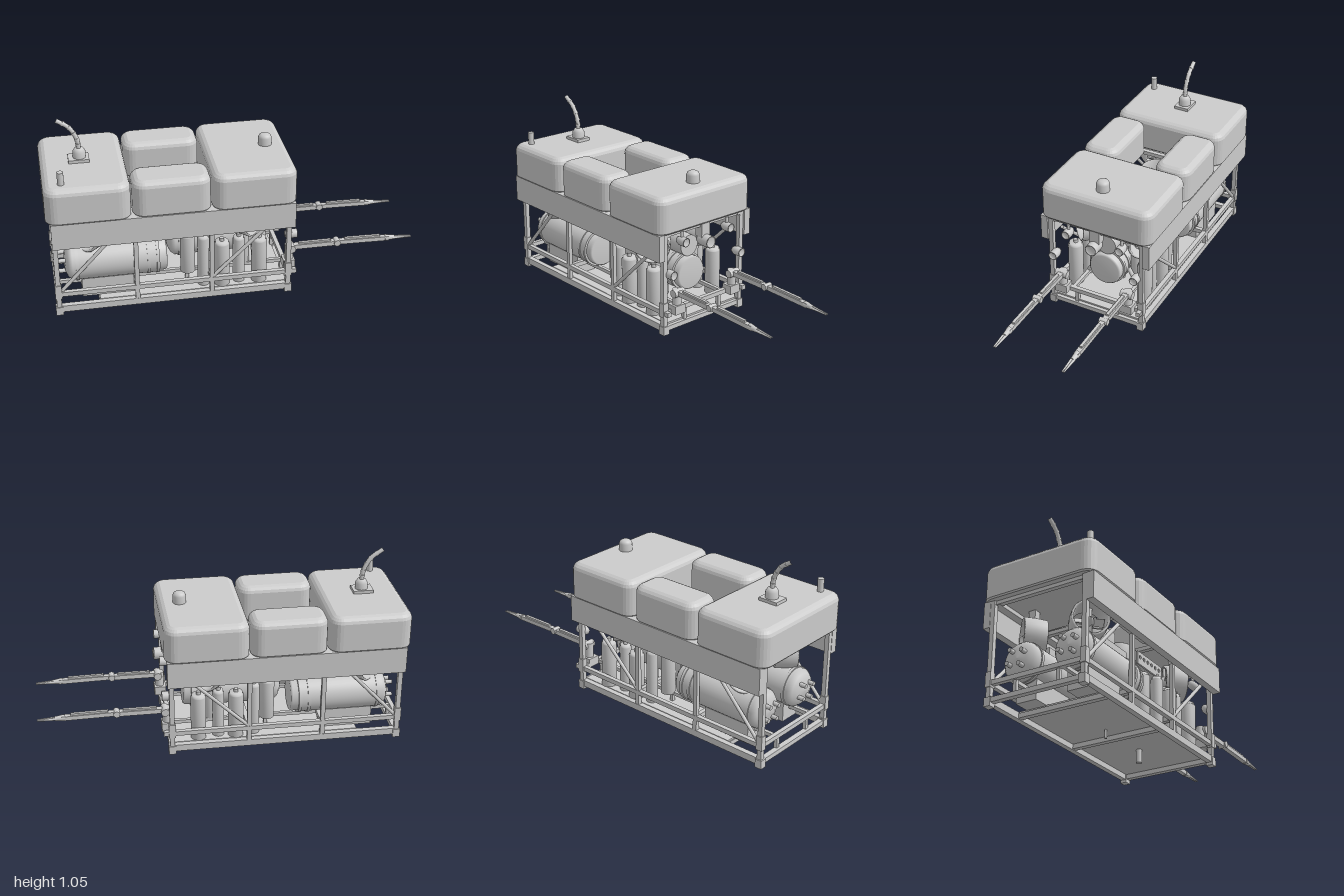
import * as THREE from 'three';

const V = (x, y, z) => new THREE.Vector3(x, y, z);
const UP = V(0, 1, 0);
const mat = new THREE.MeshStandardMaterial({ color: 0xcccccc });
const matDouble = new THREE.MeshStandardMaterial({ color: 0xcccccc, side: THREE.DoubleSide });
const sides = [1, -1];

export function createModel() {
  const root = new THREE.Group();

  const add = (name, geo, parent = root, m = mat) => {
    const mesh = new THREE.Mesh(geo, m);
    mesh.name = name;
    parent.add(mesh);
    return mesh;
  };
  // Box given by its limits on each axis
  const box = (name, x0, x1, y0, y1, z0, z1, parent) => {
    const b = add(name, new THREE.BoxGeometry(x1 - x0, y1 - y0, z1 - z0), parent);
    b.position.set((x0 + x1) / 2, (y0 + y1) / 2, (z0 + z1) / 2);
    return b;
  };
  // Round bar between two points
  const rod = (name, a, b, r, r2 = r, seg = 20, parent) => {
    const d = b.clone().sub(a);
    const c = add(name, new THREE.CylinderGeometry(r2, r, d.length(), seg), parent);
    c.position.copy(a).add(b).multiplyScalar(0.5);
    c.quaternion.setFromUnitVectors(UP, d.normalize());
    return c;
  };
  // Turned part along a direction; profile is [radius, distance] pairs
  const turned = (name, profile, at, dir = UP, seg = 32, parent) => {
    const pts = profile.map(([r, y]) => new THREE.Vector2(r, y));
    const m = add(name, new THREE.LatheGeometry(pts, seg), parent, matDouble);
    m.position.copy(at);
    m.quaternion.setFromUnitVectors(UP, dir.clone().normalize());
    return m;
  };

  // Rounded float block lofted from stacked rounded rectangles
  const floatBlock = (name, x0, x1, z0, z1) => {
    const levels = [[0.6, 0.006], [0.608, 0], [0.765, 0], [0.78, 0.006], [0.792, 0.018], [0.8, 0.034]];
    const n = 6, R = 0.065, pos = [], idx = [];
    const per = 4 * (n + 1);
    for (const [y, inset] of levels) {
      for (let q = 0; q < 4; q++) for (let i = 0; i <= n; i++) {
        const a = (q + i / n) * Math.PI / 2, r = R - inset;
        const cx = q === 0 || q === 3 ? x1 - R : x0 + R;
        const cz = q < 2 ? z1 - R : z0 + R;
        pos.push(cx + r * Math.cos(a), y, cz + r * Math.sin(a));
      }
    }
    for (let l = 0; l < levels.length - 1; l++) for (let i = 0; i < per; i++) {
      const a = l * per + i, b = l * per + (i + 1) % per;
      idx.push(a, a + per, b, b, a + per, b + per);
    }
    const top = (levels.length - 1) * per;
    for (let i = 1; i < per - 1; i++) idx.push(0, i, i + 1, top, top + i + 1, top + i);
    const g = new THREE.BufferGeometry();
    g.setAttribute('position', new THREE.Float32BufferAttribute(pos, 3));
    g.setIndex(idx);
    const flat = g.toNonIndexed();
    flat.computeVertexNormals();
    add(name, flat);
  };
  floatBlock('rearFloat', -1, -0.555, -0.33, 0.33);
  floatBlock('frontFloat', -0.13, 0.32, -0.33, 0.33);
  floatBlock('leftFloat', -0.548, -0.137, -0.325, -0.115);
  floatBlock('rightFloat', -0.548, -0.137, 0.115, 0.325);

  // Fittings on top: whip on a base, rod and domed beacon
  box('whipBase', -0.85, -0.74, 0.795, 0.817, -0.042, 0.042);
  turned('whipSocket', [[0.034, 0], [0.034, 0.04], [0.022, 0.06], [0, 0.06]], V(-0.79, 0.81, 0));
  const whip = new THREE.CatmullRomCurve3([V(-0.79, 0.86, 0), V(-0.797, 0.92, 0), V(-0.835, 0.99, 0), V(-0.9, 1.037, 0)]);
  add('whip', new THREE.TubeGeometry(whip, 24, 0.012, 12));
  for (let i = 1; i < 6; i++) {
    const p = whip.getPoint(i / 6), t = whip.getTangent(i / 6).multiplyScalar(0.006);
    rod('whipRing', p.clone().sub(t), p.clone().add(t), 0.014);
  }
  rod('topRod', V(-0.905, 0.79, 0.255), V(-0.905, 0.87, 0.255), 0.017);
  turned('beacon', [[0.036, 0], [0.036, 0.045], [0.03, 0.058], [0.018, 0.065], [0, 0.066]], V(0.205, 0.796, 0));

  // Open frame, mirrored across z
  for (const s of sides) {
    const f = new THREE.Group();
    f.name = s > 0 ? 'frameRight' : 'frameLeft';
    root.add(f);
    const sbox = (name, x0, x1, y0, y1, z0, z1) =>
      box(name, x0, x1, y0, y1, Math.min(s * z0, s * z1), Math.max(s * z0, s * z1), f);
    sbox('sidePanel', -0.975, 0.31, 0.455, 0.602, 0.285, 0.325);
    sbox('bottomRail', -0.97, 0.295, 0.043, 0.08, 0.255, 0.285);
    sbox('middleRail', -0.96, 0.33, 0.14, 0.165, 0.26, 0.285);
    sbox('topRail', -0.96, 0.3, 0.578, 0.602, 0.24, 0.29);
    for (const x of [-0.96, 0.285]) {
      sbox('cornerPost', x - 0.013, x + 0.013, 0.04, 0.6, 0.26, 0.285);
      sbox('foot', x - 0.02, x + 0.02, 0.027, 0.075, 0.252, 0.29);
      sbox('postSleeve', x - 0.018, x + 0.018, 0.13, 0.21, 0.258, 0.29);
    }
    for (const x of [-0.54, -0.135]) sbox('middlePost', x - 0.012, x + 0.012, 0.05, 0.46, 0.262, 0.284);
    rod('diagonal', V(-0.94, 0.17, s * 0.272), V(-0.67, 0.46, s * 0.272), 0.01, 0.01, 12, f);
    rod('diagonal', V(-0.13, 0.165, s * 0.272), V(0.18, 0.46, s * 0.272), 0.01, 0.01, 12, f);
    sbox('innerRail', -0.95, 0.28, 0.14, 0.16, 0.14, 0.16);
    for (const x of [-0.95, -0.25, 0.28]) sbox('strut', x - 0.01, x + 0.01, 0.07, 0.15, 0.115, 0.135);
  }
  for (const x of [-0.96, -0.73, -0.25, 0.285]) box('bottomCrossbar', x - 0.015, x + 0.015, 0.047, 0.073, -0.26, 0.26);
  for (const x of [-0.96, -0.54, -0.135, 0.285]) box('middleCrossbar', x - 0.012, x + 0.012, 0.14, 0.165, -0.265, 0.265);
  for (const x of [-0.95, -0.54, -0.135, 0.285]) box('topCrossbar', x - 0.013, x + 0.013, 0.58, 0.602, -0.28, 0.28);
  box('floorPlate', -0.74, 0.28, 0.073, 0.083, -0.255, 0.255);
  rod('floorPin', V(-0.015, 0, 0), V(-0.015, 0.14, 0), 0.016);
  rod('floorBolt', V(-0.345, 0.025, 0), V(-0.345, 0.075, 0), 0.007);

  // Horizontal pressure tanks with straps, cradle and end connectors
  const tank = (name, x0, x1, y, z, r) => {
    const L = x1 - x0, d = 0.045;
    turned(name, [[0, 0], [r * 0.5, 0.008], [r * 0.82, 0.022], [r, d], [r, L - d], [r * 0.93, L - d], [r * 0.93, L - 0.01], [r * 0.85, L], [0, L]],
      V(x0, y, z), V(1, 0, 0), 40);
    for (const x of [x0 + 0.07, x1 - 0.1, x1 - 0.05])
      rod('tankStrap', V(x - 0.008, y, z), V(x + 0.008, y, z), r + 0.005, r + 0.005, 40);
  };
  for (const s of sides) {
    tank('sideTank', -0.92, -0.37, 0.277, s * 0.15, 0.105);
    box('tankCradle', -0.83, -0.55, 0.08, 0.19, s * 0.15 - 0.06, s * 0.15 + 0.06);
    box('tankSaddle', -0.7, -0.45, 0.375, 0.42, s * 0.15 - 0.035, s * 0.15 + 0.035);
    for (let i = 0; i < 4; i++) {
      const a = i * Math.PI / 2 + 0.6, y = 0.277 + 0.05 * Math.sin(a), z = s * 0.15 + 0.05 * Math.cos(a);
      rod('tankConnector', V(-0.945, y, z), V(-0.9, y, z), 0.012);
    }
  }
  tank('centreTank', -0.35, 0.2, 0.275, 0, 0.102);
  rod('upperPod', V(-0.3, 0.43, 0), V(0.18, 0.43, 0), 0.06, 0.06, 32);
  for (const s of sides) for (const x of [-0.22, 0.1])
    rod('tankBrace', V(x, 0.16, s * 0.15), V(x, 0.27, s * 0.09), 0.012);

  // Upright canisters: [x, radius, bottom, top, z]
  const canisters = [[-0.25, 0.04, 0.15, 0.385, 0.16], [-0.17, 0.032, 0.08, 0.385, 0.2], [-0.07, 0.042, 0.08, 0.35, 0.215],
    [0.025, 0.032, 0.08, 0.36, 0.2], [0.135, 0.042, 0.08, 0.35, 0.215], [0.06, 0.034, 0.16, 0.38, 0.13]];
  for (const s of sides) {
    for (const [x, r, y0, y1, z] of canisters) {
      const h = y1 - y0;
      turned('canister', [[0, 0], [r, 0], [r, h - 0.015], [r * 0.85, h - 0.015], [r * 0.85, h], [0, h]], V(x, y0, s * z), UP, 24);
      rod('canisterCap', V(x, y1, s * z), V(x, y1 + 0.018, s * z), 0.012);
    }
    // Perforated bracket above the canisters
    const sh = new THREE.Shape([[-0.37, 0.39], [-0.13, 0.39], [-0.13, 0.46], [-0.37, 0.46]].map(p => new THREE.Vector2(...p)));
    for (let i = 0; i < 6; i++) sh.holes.push(new THREE.Path().absarc(-0.345 + i * 0.038, 0.432, 0.01, 0, Math.PI * 2, true));
    add('perforatedBracket', new THREE.ExtrudeGeometry(sh, { depth: 0.01, bevelEnabled: false, curveSegments: 8 })).position.z = s * 0.2 - 0.005;
  }

  // Ducted thrusters: two upright, four angled outwards
  const thruster = (name, at, dir) => {
    const g = new THREE.Group();
    g.name = name;
    g.position.copy(at);
    g.quaternion.setFromUnitVectors(UP, dir.normalize());
    root.add(g);
    turned('duct', [[0.08, -0.06], [0.092, -0.06], [0.098, 0], [0.098, 0.055], [0.092, 0.06], [0.085, 0.055], [0.08, 0], [0.08, -0.06]], V(0, 0, 0), UP, 36, g);
    turned('hub', [[0, -0.075], [0.028, -0.07], [0.028, 0], [0.02, 0.025], [0, 0.06]], V(0, 0, 0), UP, 20, g);
    for (let i = 0; i < 4; i++) {
      const arm = new THREE.Group();
      arm.rotation.y = i * Math.PI / 2 + Math.PI / 4;
      g.add(arm);
      box('guardSpoke', 0.02, 0.088, -0.058, -0.045, -0.005, 0.005, arm);
      box('blade', 0.015, 0.077, -0.003, 0.003, -0.02, 0.02, arm).rotation.x = 0.6;
    }
  };
  for (const x of [-0.45, -0.24]) thruster('verticalThruster', V(x, 0.51, 0), V(0, 1, 0));
  for (const s of sides) {
    thruster('frontThruster', V(0.07, 0.457, s * 0.165), V(0.7, 0, s * 0.7));
    thruster('rearThruster', V(-0.77, 0.457, s * 0.165), V(-0.7, 0, s * 0.7));
    for (const x of [0.07, -0.77]) box('thrusterMount', x - 0.02, x + 0.02, 0.55, 0.6, s * 0.165 - 0.02, s * 0.165 + 0.02);
  }

  // Forward camera and lights
  const lamp = (name, y, z, r, x0 = 0.27, x1 = 0.335) =>
    turned(name, [[0, 0], [r * 0.7, 0], [r, 0.02], [r, x1 - x0], [r * 0.82, x1 - x0], [r * 0.8, x1 - x0 - 0.008], [0, x1 - x0 - 0.008]],
      V(x0, y, z), V(1, 0, 0), 24);
  lamp('camera', 0.5, 0, 0.034, 0.26, 0.35);
  box('cameraBracket', 0.26, 0.31, 0.52, 0.6, -0.03, 0.03);
  for (const s of sides) {
    lamp('upperLight', 0.535, s * 0.16, 0.025);
    rod('lightStem', V(0.3, 0.55, s * 0.16), V(0.3, 0.59, s * 0.16), 0.009);
    lamp('lowerLight', 0.37, s * 0.245, 0.025);
  }

  // Manipulator arms
  for (const s of sides) {
    const a = new THREE.Group();
    a.name = s > 0 ? 'armRight' : 'armLeft';
    a.position.z = s * 0.2;
    root.add(a);
    box('armMount', 0.27, 0.335, 0.14, 0.19, -0.035, 0.035, a);
    rod('shoulderPost', V(0.305, 0.18, 0), V(0.305, 0.275, 0), 0.024, 0.024, 20, a);
    rod('shoulderPivot', V(0.315, 0.257, -0.035), V(0.315, 0.257, 0.035), 0.022, 0.022, 20, a);
    box('upperArm', 0.32, 0.57, 0.246, 0.272, -0.016, 0.016, a);
    box('armCylinder', 0.36, 0.54, 0.27, 0.282, -0.008, 0.008, a);
    rod('elbow', V(0.575, 0.262, -0.024), V(0.575, 0.262, 0.024), 0.018, 0.018, 20, a);
    box('forearm', 0.575, 0.87, 0.246, 0.27, -0.014, 0.014, a).rotation.z = -0.02;
    box('forearmCylinder', 0.62, 0.82, 0.268, 0.281, -0.008, 0.008, a).rotation.z = -0.02;
    rod('wrist', V(0.85, 0.256, 0), V(0.905, 0.254, 0), 0.018, 0.012, 16, a);
    for (const t of sides) rod('gripperFinger', V(0.895, 0.254, t * 0.007), V(1, 0.25, t * 0.005), 0.008, 0.004, 8, a);
  }
  return root;
}
